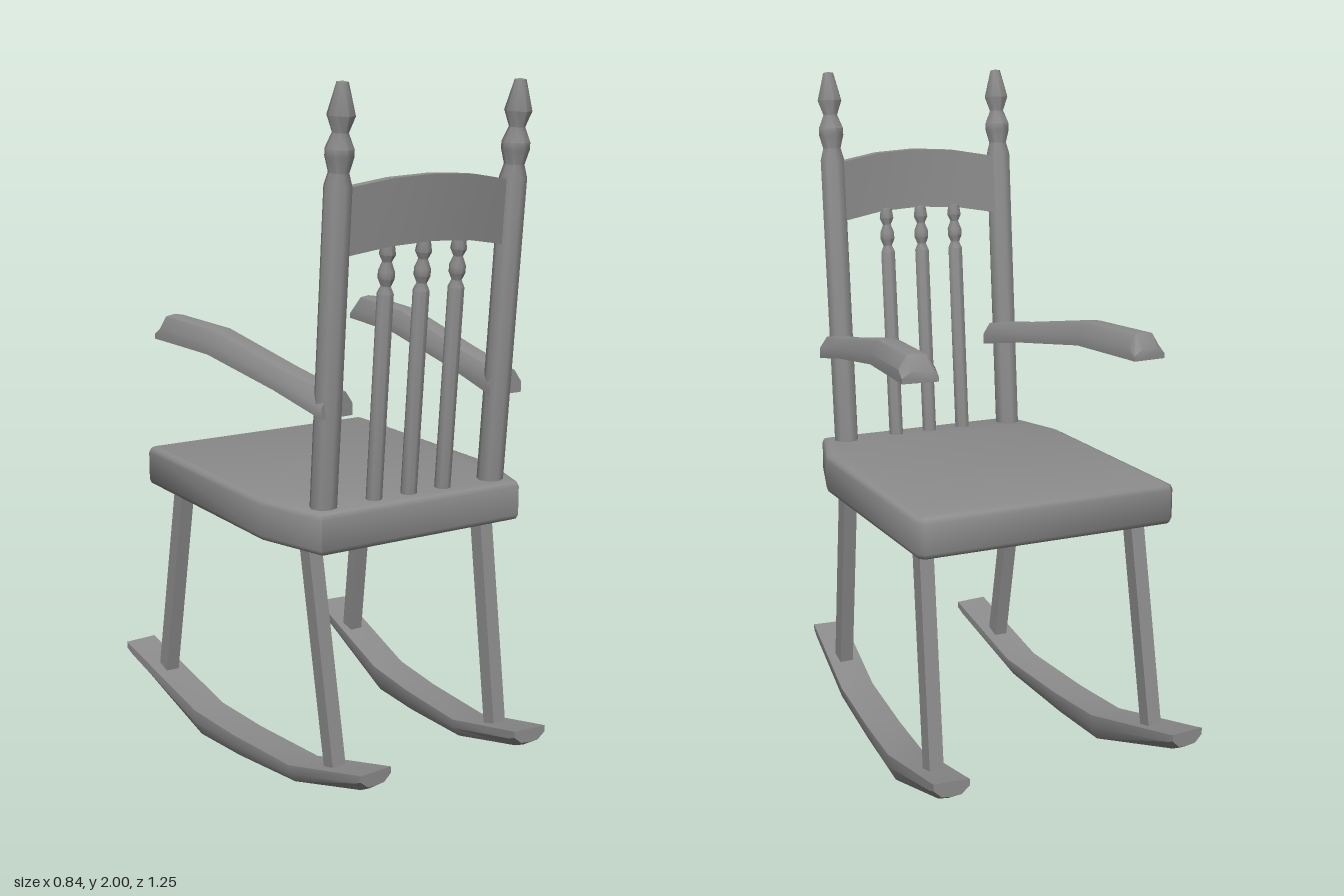
import * as THREE from 'three';
import { toCreasedNormals } from 'three/addons/utils/BufferGeometryUtils.js';

const material = new THREE.MeshStandardMaterial({ color: 0x8c8c8c });
const BACK_TILT = 0.085;
const BACK_X = -0.013; // middle of the backrest
const SPLAY = 0.085; // arms and rockers spread towards the front

function part(name, geometry, crease = 0.7) {
  const mesh = new THREE.Mesh(toCreasedNormals(geometry, crease), material);
  mesh.name = name;
  return mesh;
}

// Skin over equal-length convex rings of [x, y, z], with both ends capped.
function loft(rings) {
  const n = rings[0].length;
  const points = rings.flat().map((p) => new THREE.Vector3(...p));
  const faces = [];
  for (let r = 0; r < rings.length - 1; r++) {
    for (let i = 0; i < n; i++) {
      const a = r * n + i, b = r * n + (i + 1) % n;
      faces.push([a, b, b + n], [a, b + n, a + n]);
    }
  }
  const last = (rings.length - 1) * n;
  for (let i = 1; i < n - 1; i++) {
    faces.push([0, i + 1, i], [last, last + i, last + i + 1]);
  }
  // Turn every face outward, whichever way the rings run
  let volume = 0;
  for (const [a, b, c] of faces) {
    volume += points[a].dot(new THREE.Vector3().crossVectors(points[b], points[c]));
  }
  const index = faces.flatMap(([a, b, c]) => (volume < 0 ? [a, c, b] : [a, b, c]));
  const geometry = new THREE.BufferGeometry().setFromPoints(points);
  geometry.setIndex(index);
  return geometry;
}

// Rail with one flat and one chamfered face; stations are [z, flatY, chamferedY]
function chamferedRail(side, stations, centreX) {
  // [across, share of the way from the flat to the chamfered face]
  const section = [[-0.051, 0], [0.051, 0], [0.051, 0.45], [0.028, 0.94], [0, 1], [-0.028, 0.94], [-0.051, 0.45]];
  return loft(stations.map(([z, flat, far]) =>
    section.map(([u, v]) => [side * (centreX(z) + u), flat + (far - flat) * v, z + u * SPLAY])));
}

// Turned spindle leaning backwards with the backrest
function spindle(name, profile, x, z) {
  const points = profile.map(([r, y]) => new THREE.Vector2(r, y));
  const mesh = part(name, new THREE.LatheGeometry(points, 8), 0.85);
  mesh.rotation.x = BACK_TILT;
  mesh.position.set(x, 0.85, z);
  return mesh;
}

// Square leg between two points
function leg(name, top, bottom) {
  const half = 0.021;
  const ring = ([x, y, z]) => [[-1, -1], [1, -1], [1, 1], [-1, 1]]
    .map(([u, v]) => [x + u * half, y, z + v * (half + 0.004)]);
  return part(name, loft([ring(bottom), ring(top)]));
}

// Softly rounded seat, narrowing at the back
function createSeat() {
  const outline = [
    [-0.383, -0.467], [0.373, -0.467], [0.39, -0.45], [0.39, 0.25],
    [0.325, 0.463], [-0.335, 0.463], [-0.4, 0.25], [-0.4, -0.45],
  ];
  const shape = new THREE.Shape(outline.map(([x, z]) => new THREE.Vector2(x, z)));
  const bevel = 0.018;
  const geometry = new THREE.ExtrudeGeometry(shape, {
    depth: 0.12 - 2 * bevel, bevelEnabled: true, bevelThickness: bevel,
    bevelSize: bevel, bevelOffset: -bevel, bevelSegments: 2,
  });
  geometry.rotateX(Math.PI / 2);
  geometry.translate(0, 0.875 - bevel, 0);
  return part('seat', geometry, 1);
}

// Top rail, arched upwards and bowed backwards
function createTopRail() {
  const rings = [];
  for (let i = 0; i <= 4; i++) {
    const t = i / 2 - 1;
    const arch = 1 - t * t;
    const x = BACK_X + t * 0.255;
    const corner = (y, z) => [x, y + 0.028 * arch, z + 0.026 * arch + (y - 1.64) * BACK_TILT];
    rings.push([corner(1.555, 0.443), corner(1.555, 0.48), corner(1.732, 0.48), corner(1.732, 0.443)]);
  }
  return part('topRail', loft(rings));
}

export function createModel() {
  const model = new THREE.Group();
  model.name = 'rockingChair';
  model.add(createSeat(), createTopRail());

  // Back posts with finials
  const post = [
    [0, 0], [0.038, 0], [0.038, 0.89], [0.028, 0.925], [0.039, 0.965], [0.039, 0.985],
    [0.022, 1.025], [0.038, 1.068], [0.016, 1.15], [0, 1.153],
  ];
  for (const side of [-1, 1]) {
    model.add(spindle(side > 0 ? 'leftPost' : 'rightPost', post, BACK_X + side * 0.28, 0.4));
  }

  // Thin spindles between seat and top rail
  const thin = [
    [0, 0], [0.023, 0], [0.023, 0.6], [0.014, 0.62], [0.023, 0.64], [0.023, 0.66],
    [0.013, 0.685], [0.023, 0.705], [0.018, 0.735], [0, 0.74],
  ];
  for (const i of [-1, 0, 1]) {
    model.add(spindle('backSpindle', thin, BACK_X - 0.005 + i * 0.115, 0.404));
  }

  // Arms: flat below, chamfered above, spreading to the free end
  const armStations = [
    [0.45, 1.13, 1.2], [0.23, 1.172, 1.233], [-0.1, 1.22, 1.292],
    [-0.36, 1.224, 1.298], [-0.39, 1.224, 1.256],
  ];
  // Rockers: flat above, chamfered below
  const rockerStations = [
    [0.62, 0.187, 0.146], [0.59, 0.179, 0.126], [0.286, 0.094, 0.034], [0, 0.084, 0.008],
    [-0.21, 0.088, 0], [-0.59, 0.179, 0.125], [-0.62, 0.187, 0.143],
  ];
  const armX = (z) => 0.317 - SPLAY * z;
  const rockerX = (z) => 0.315 - SPLAY * z;
  for (const side of [-1, 1]) {
    const label = side > 0 ? 'left' : 'right';
    model.add(
      part(label + 'Arm', chamferedRail(side, armStations, armX)),
      part(label + 'Rocker', chamferedRail(side, rockerStations, rockerX)),
      leg(label + 'BackLeg', [side * 0.291, 0.77, 0.328], [side * rockerX(0.44), 0.11, 0.44]),
      leg(label + 'FrontLeg', [side * 0.33, 0.77, -0.348], [side * 0.349, 0.11, -0.458]),
    );
  }
  return model;
}
